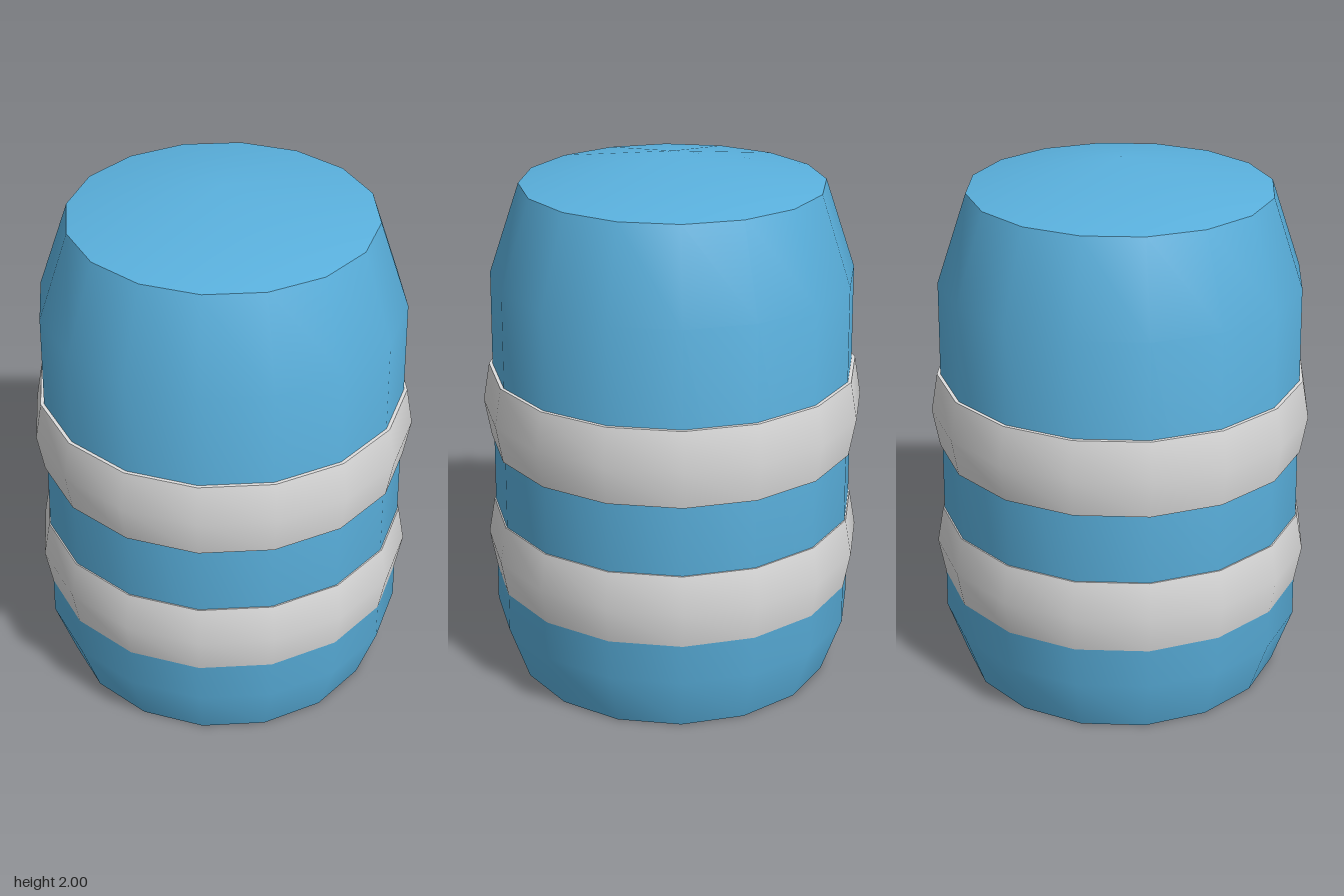
import * as THREE from 'three';
import { toCreasedNormals } from 'three/addons/utils/BufferGeometryUtils.js';

const SIDES = 16;

// Revolve a bottom-to-top [radius, height] profile, smooth except at sharp rims
function revolve(name, profile, material) {
  const points = profile.map(([r, y]) => new THREE.Vector2(r, y));
  const geometry = toCreasedNormals(new THREE.LatheGeometry(points, SIDES), 0.65);
  const mesh = new THREE.Mesh(geometry, material);
  mesh.name = name;
  return mesh;
}

export function createModel() {
  const blue = new THREE.MeshStandardMaterial({ color: 0x5ab1de });
  blue.name = 'barrel blue';
  const white = new THREE.MeshStandardMaterial({ color: 0xdddddd });
  white.name = 'band white';

  const group = new THREE.Group();
  group.name = 'barrel';

  // Barrel with flat base, bevelled shoulders and a shallow conical lid
  group.add(revolve('barrelBody', [
    [0, 0], [0.61, 0], [0.686, 0.22], [0.667, 1.56], [0.555, 1.89], [0, 2],
  ], blue));

  // Two bulging bands, their rims tucked into the body
  const bands = [['lowerBand', 0.37, 0.65], ['upperBand', 0.915, 1.203]];
  for (const [name, bottom, top] of bands) {
    group.add(revolve(name, [
      [0.64, bottom], [0.685, bottom], [0.71, (bottom + top) / 2], [0.685, top], [0.64, top],
    ], white));
  }
  return group;
}
